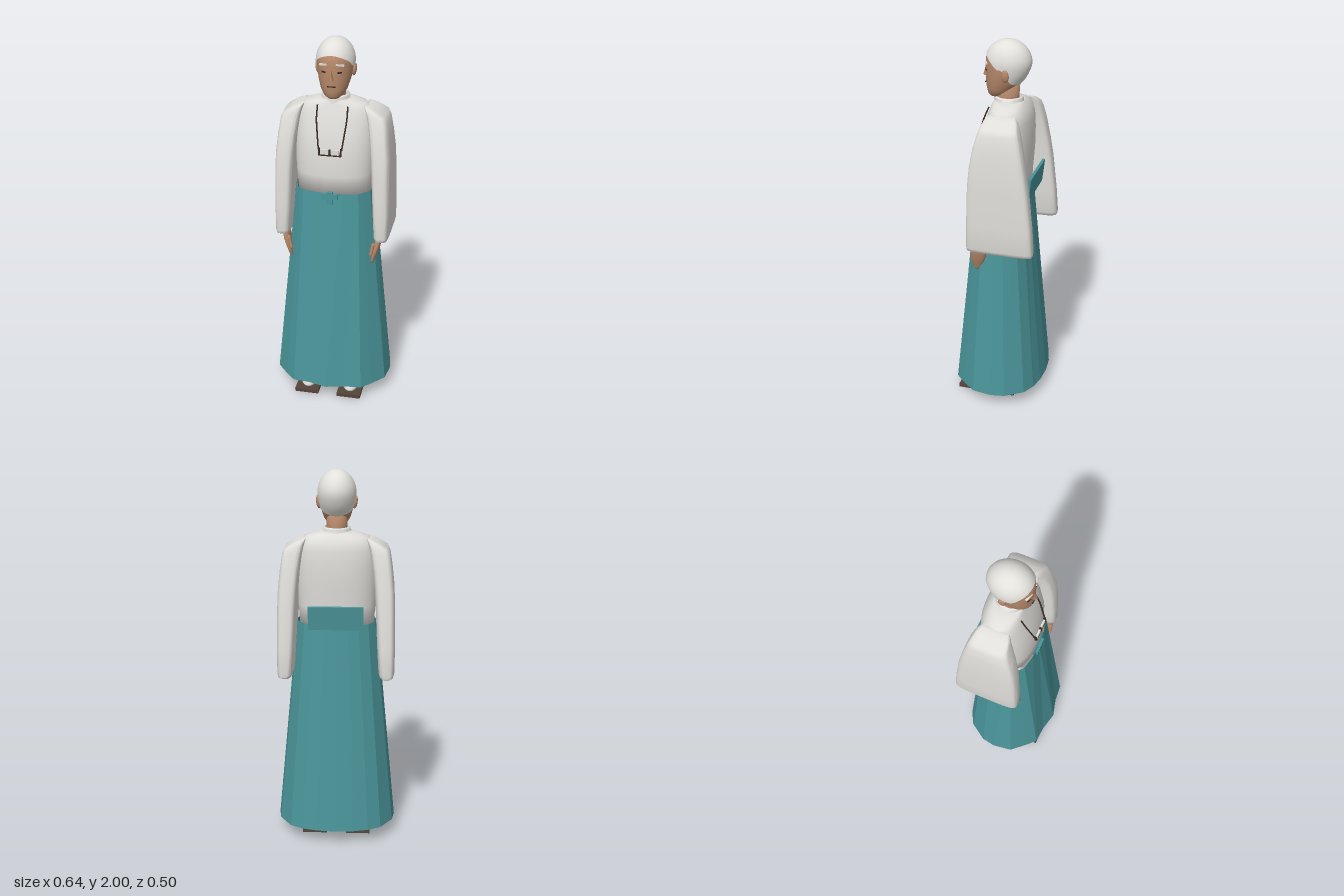
import * as THREE from 'three';
import { toCreasedNormals } from 'three/addons/utils/BufferGeometryUtils.js';

const mat = (name, color, side = THREE.FrontSide) => {
  const m = new THREE.MeshStandardMaterial({ color, side });
  m.name = name;
  return m;
};

// Surface through rings of points; caps close the two ends
function skin(rings, cap = true, closed = true) {
  const n = rings[0].length, pos = rings.flat(2), index = [];
  for (let r = 0; r < rings.length - 1; r++) {
    for (let i = 0; i < (closed ? n : n - 1); i++) {
      const j = (i + 1) % n, a = r * n, b = a + n;
      index.push(a + i, b + i, a + j, a + j, b + i, b + j);
    }
  }
  if (cap) {
    for (const r of [0, rings.length - 1]) {
      const c = pos.length / 3, k = r * n;
      for (let d = 0; d < 3; d++) pos.push(rings[r].reduce((s, p) => s + p[d], 0) / n);
      for (let i = 0; i < n; i++) {
        const j = (i + 1) % n;
        if (r === 0) index.push(c, k + i, k + j);
        else index.push(c, k + j, k + i);
      }
    }
  }
  const g = new THREE.BufferGeometry();
  g.setAttribute('position', new THREE.Float32BufferAttribute(pos, 3));
  g.setIndex(index);
  g.computeVertexNormals();
  return g;
}

// Superellipse cross-section [y, x0, x1, zFront, zBack]
function ring([y, x0, x1, zf, zb], n, p) {
  const pw = v => Math.sign(v) * Math.abs(v) ** (2 / p);
  return Array.from({ length: n }, (_, i) => {
    const a = (i / n) * Math.PI * 2;
    return [(x0 + x1) / 2 + (x1 - x0) / 2 * pw(Math.cos(a)), y, (zf + zb) / 2 + (zf - zb) / 2 * pw(Math.sin(a))];
  });
}
const loft = (secs, n = 32, p = 2, cap = true) => skin(secs.map(s => ring(s, n, p)), cap);
const even = secs => secs.map(([y, hx, zf, zb]) => [y, -hx, hx, zf, zb]);
const onSide = (secs, s) => secs.map(([y, a, b, zf, zb]) => (s > 0 ? [y, a, b, zf, zb] : [y, -b, -a, zf, zb]));

// Linear look-up in rows [key, ...values]
function lookup(rows, k) {
  let i = 0;
  while (i < rows.length - 2 && k > rows[i + 1][0]) i++;
  const t = THREE.MathUtils.clamp((k - rows[i][0]) / (rows[i + 1][0] - rows[i][0]), 0, 1);
  return rows[i].slice(1).map((v, d) => v + (rows[i + 1][d + 1] - v) * t);
}

// Head size at a height: [halfWidth, zFront, zBack]
const JAW = [[1.705, .03, .07, .0], [1.72, .05, .08, -.03], [1.75, .068, .087, -.06],
  [1.8, .083, .091, -.105], [1.84, .09, .092, -.128], [1.88, .094, .092, -.14]];
function headAt(y) {
  if (y <= 1.88) return lookup(JAW, y);
  const s = Math.sqrt(Math.max(0, 1 - ((y - 1.88) / .114) ** 2));
  return [.094 * s, -.024 + .116 * s, -.024 - .116 * s];
}
function faceZ(x, y) {
  const [hx, zf, zb] = headAt(y);
  return (zf + zb) / 2 + (zf - zb) / 2 * Math.sqrt(Math.max(0, 1 - (x / hx) ** 2));
}

export function createModel() {
  const root = new THREE.Group();
  const M = {
    cloth: mat('white cloth', 0xe0deda), teal: mat('teal cloth', 0x4a959a, THREE.DoubleSide),
    skin: mat('skin', 0xb88a6c), hair: mat('white hair', 0xe2e1dc, THREE.DoubleSide),
    sole: mat('brown sandal', 0x55453a), dark: mat('dark brown', 0x3a2c22),
  };
  const add = (name, geo, m, x = 0, y = 0, z = 0) => {
    const mesh = new THREE.Mesh(geo, m);
    mesh.name = name;
    mesh.position.set(x, y, z);
    root.add(mesh);
    return mesh;
  };
  const box = (...s) => new THREE.BoxGeometry(...s);
  const tube = (pts, r, n = 24) => new THREE.TubeGeometry(
    new THREE.CatmullRomCurve3(pts.map(p => new THREE.Vector3(...p)), false, 'centripetal'), n, r, 6);

  // Jacket body and collar
  add('jacketBody', loft(even([[1.19, .195, .115, -.14], [1.3, .203, .12, -.145], [1.42, .208, .118, -.154],
    [1.52, .206, .1, -.155], [1.6, .2, .077, -.15], [1.64, .187, .063, -.138], [1.665, .16, .054, -.122],
    [1.68, .115, .049, -.11], [1.69, .075, .045, -.1]]), 40, 2.3), M.cloth);
  add('collar', toCreasedNormals(loft(even([[1.67, .082, .052, -.108], [1.705, .07, .046, -.1],
    [1.71, .062, .038, -.092], [1.69, .058, .03, -.085]]), 32, 2), .7), M.cloth);

  // Pleated skirt: half outline at hem and waist, mirrored, [x, z]
  const hem = [[0, .247], [.1, .222], [.19, .215], [.24, .165], [.305, .09], [.32, -.015], [.308, -.09],
    [.245, -.185], [.177, -.222], [.1, -.242], [0, -.25]];
  const waist = [[0, .127], [.07, .122], [.145, .107], [.167, .085], [.197, .05], [.212, -.01], [.203, -.05],
    [.167, -.105], [.117, -.132], [.06, -.143], [0, -.146]];
  const outline = (half, y) => [...half.map(([x, z]) => [x, y, z]),
    ...half.slice(1, -1).reverse().map(([x, z]) => [-x, y, z])].reverse();
  const skirt = skin([outline(hem, .08), outline(waist, 1.21)], false).toNonIndexed();
  skirt.computeVertexNormals();
  add('skirt', skirt, M.teal);
  add('backPlate', box(.286, .125, .015), M.teal, 0, 1.258, -.172).rotation.x = -.12;
  add('knotAcross', box(.085, .03, .014), M.teal, 0, 1.195, .131);
  add('knotDown', box(.03, .07, .016), M.teal, 0, 1.185, .131);

  // Head and neck
  const ys = JAW.map(r => r[0]);
  for (let i = 1; i <= 10; i++) ys.push(1.88 + .114 * Math.sin(i / 10 * 1.55));
  add('head', loft(even(ys.map(y => [y, ...headAt(y)])), 36), M.skin);
  add('neck', loft(even([[1.64, .056, .035, -.085], [1.7, .053, .045, -.08], [1.78, .054, .04, -.085]]), 24), M.skin);

  // Hair cap with a rim that drops from forehead to nape
  const rim = [[-1, 1.77], [-.45, 1.795], [-.1, 1.845], [.05, 1.865], [.3, 1.865], [.6, 1.9], [1, 1.932]];
  const hairRings = [];
  for (let r = 0; r <= 12; r++) {
    const row = [];
    for (let i = 0; i < 48; i++) {
      const a = i / 48 * Math.PI * 2, c = Math.cos(a), s = Math.sin(a);
      const y0 = lookup(rim, s)[0], y = y0 + (1.994 - y0) * Math.sin(r / 12 * Math.PI / 2);
      const [hx, zf, zb] = headAt(y), o = .006;
      row.push([(hx + o) * c, y + .006 * r / 12, (zf + zb) / 2 + ((zf - zb) / 2 + o) * s]);
    }
    hairRings.push(row);
  }
  const hair = skin(hairRings, false);
  add('hair', hair, M.hair);
  add('crown', new THREE.SphereGeometry(.012, 16, 6), M.hair, 0, 1.9965, -.024).scale.y = .28;

  // Face
  const nose = new THREE.ConeGeometry(.015, .06, 4, 1);
  add('nose', nose, M.skin, 0, 1.837, .091).scale.z = 1.1;
  add('mouth', box(.042, .005, .006), M.dark, 0, 1.775, faceZ(0, 1.775));
  for (const s of [1, -1]) {
    const eye = add('eye', box(.022, .008, .006), M.dark, s * .04, 1.848, faceZ(.04, 1.848));
    eye.rotation.y = s * .35;
    const brow = add('eyebrow', box(.042, .009, .009), M.hair, s * .042, 1.886, faceZ(.042, 1.886));
    brow.rotation.set(0, s * .36, -s * .15);
    const ear = add('ear', new THREE.SphereGeometry(1, 16, 12), M.skin, s * .094, 1.836, -.033);
    ear.scale.set(.012, .034, .02);
    ear.rotation.z = -s * .12;
  }

  for (const s of [1, -1]) {
    // Hanging sleeve
    add('sleeve', toCreasedNormals(loft(onSide([[.94, .238, .29, .108, -.215], [.947, .228, .302, .119, -.229],
      [.965, .222, .307, .122, -.232], [1.1, .214, .308, .12, -.222], [1.3, .204, .305, .114, -.2],
      [1.4, .198, .301, .105, -.184], [1.5, .188, .29, .088, -.166], [1.58, .175, .278, .067, -.148],
      [1.61, .168, .265, .056, -.138], [1.64, .16, .215, .045, -.122], [1.655, .155, .178, .03, -.105]], s), 40, 4.5), .9), M.cloth);
    // Hand and thumb
    add('hand', loft(onSide([[.808, .216, .226, .092, .075], [.82, .214, .232, .1, .065], [.86, .217, .246, .109, .042],
      [.9, .224, .26, .111, .026], [.93, .23, .266, .108, .026], [.97, .235, .272, .1, .03]], s), 20, 2.4), M.skin);
    const thumb = add('thumb', new THREE.CapsuleGeometry(.009, .06, 4, 10), M.skin, s * .222, .895, .107);
    thumb.rotation.z = -s * .2;

    // Foot, sandal and straps
    add('foot', loft(onSide([[.02, .075, .163, .18, -.092], [.035, .067, .171, .19, -.1], [.052, .07, .168, .175, -.102],
      [.066, .078, .16, .125, -.1], [.08, .085, .153, .075, -.096], [.11, .09, .148, .035, -.09],
      [.3, .085, .153, .03, -.095]], s), 28, 2.4), M.cloth);
    add('sandal', box(.132, .02, .32), M.sole, s * .119, .01, .05);
    for (const d of [1, -1]) {
      add('strap', tube([[s * .119, .06, .145], [s * .119 + d * .03, .066, .1],
        [s * .119 + d * .05, .05, .055], [s * .119 + d * .053, .02, .02]], .005), M.sole);
    }
    // White tassel on the chest cord
    add('tassel', box(.04, .026, .01), M.cloth, s * .028, 1.441, .129);
  }

  // Chest cord
  for (const s of [1, -1]) {
    add('cord', tube([[s * .078, 1.665, .055], [s * .078, 1.6, .082], [s * .07, 1.53, .104], [s * .06, 1.45, .125]], .004), M.dark);
    add('cordEnd', box(.006, .04, .012), M.dark, s * .056, 1.44, .127);
  }
  add('cordBar', box(.112, .006, .012), M.dark, 0, 1.424, .129);
  add('cordKnot', box(.008, .03, .013), M.dark, 0, 1.44, .13);

  return root;
}
